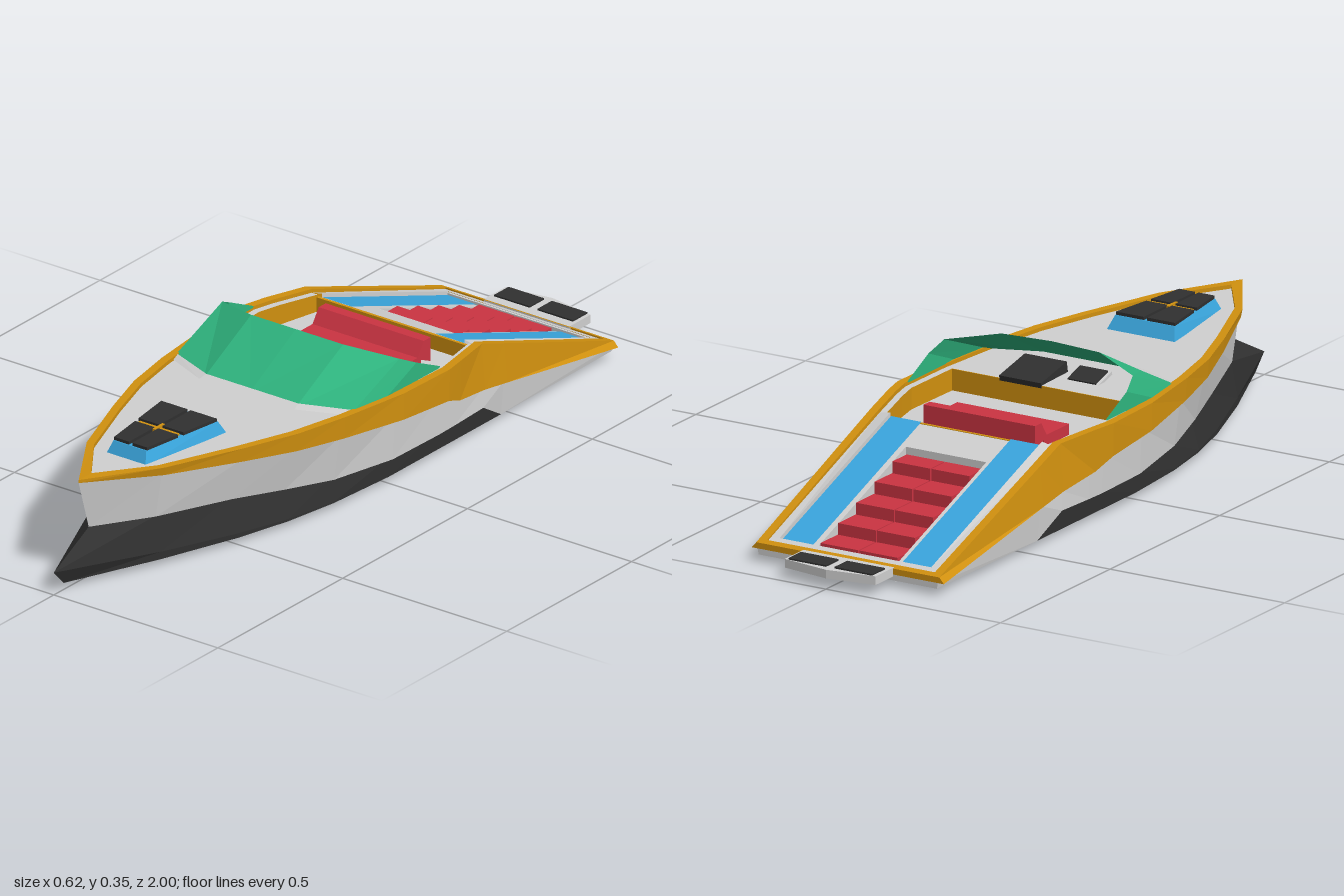
import * as THREE from 'three';

const mat = (name, color) =>
  new THREE.MeshStandardMaterial({ name, color, flatShading: true, side: THREE.DoubleSide });

export function createModel() {
  const boat = new THREE.Group();
  boat.name = 'speedboat';
  const grey = mat('light grey', 0xd0d0d0), orange = mat('orange', 0xd0900f), black = mat('black', 0x303030);
  const blue = mat('blue', 0x3aa6de), red = mat('red', 0xcb3442), green = mat('green', 0x2fb57f);

  const add = (name, geo, material, parent = boat) => {
    const m = new THREE.Mesh(geo, material);
    m.name = name;
    parent.add(m);
    return m;
  };
  // Skin between successive rows of points, mirrored across x = 0
  const strip = (name, rows, material, mirror = true) => {
    const p = [];
    const tri = (a, b, c) => {
      p.push(...a, ...b, ...c);
      if (mirror) for (const [x, y, z] of [a, c, b]) p.push(-x, y, z);
    };
    for (let i = 0; i + 1 < rows.length; i++)
      for (let j = 0; j + 1 < rows[i].length; j++) {
        const a = rows[i][j], b = rows[i][j + 1], c = rows[i + 1][j], d = rows[i + 1][j + 1];
        tri(a, b, d);
        tri(a, d, c);
      }
    const g = new THREE.BufferGeometry();
    g.setAttribute('position', new THREE.Float32BufferAttribute(p, 3));
    g.computeVertexNormals();
    return add(name, g, material);
  };
  // Box from minimum and maximum corners
  const box = (name, x0, x1, y0, y1, z0, z1, material) => {
    const m = add(name, new THREE.BoxGeometry(x1 - x0, y1 - y0, z1 - z0), material);
    m.position.set((x0 + x1) / 2, (y0 + y1) / 2, (z0 + z1) / 2);
    return m;
  };
  const row = (xs, ys, zs) => xs.map((x, i) => [x, ys[i], zs[i]]);
  const shift = (r, dx, dy) => r.map(([x, y, z]) => [Math.max(0, x + dx), y + dy, z]);
  const toCentre = r => r.map(([, y, z]) => [0, y, z]);
  const slopeY = z => 0.225 + (z + 0.36) * 0.361;

  // Long lines of the hull, bow to stern
  const zs = [0.9, 0.71, 0.5, 0.35, 0.2, 0, -0.18, -0.24, -0.36, -0.45, -0.9];
  const from = z => [z, ...zs.slice(1)];
  const sheer = row([0, 0.12, 0.2, 0.25, 0.28, 0.306, 0.31, 0.298, 0.27, 0.269, 0.262],
    [0.253, 0.25, 0.246, 0.243, 0.24, 0.236, 0.235, 0.233, 0.225, 0.1925, 0.03], zs);
  const bandY = [0.245, 0.228, 0.209, 0.195, 0.182, 0.166, 0.15, 0.125, 0.105, 0.09, 0.015];
  const bandLow = row([0, 0.115, 0.196, 0.246, 0.277, 0.306, 0.308, 0.295, 0.28, 0.279, 0.275], bandY, zs);
  const hullTop = row([0, 0.108, 0.188, 0.236, 0.262, 0.277, 0.278, 0.278, 0.272, 0.268, 0.258], bandY, zs);
  const lowY = [0.113, 0.11, 0.1, 0.082, 0.062, 0.05, 0.05, 0.052, 0.055, 0, 0];
  const hullLow = row([0, 0.09, 0.165, 0.21, 0.245, 0.272, 0.276, 0.277, 0.275, 0.26, 0.255], lowY, from(0.86));
  const keelTop = row([0, 0.087, 0.155, 0.198, 0.232, 0.258, 0.26, 0.26, 0.26, 0.26, 0.255], lowY, from(0.86));
  const keelX = [0, 0.105, 0.18, 0.22, 0.245, 0.26, 0.26, 0.26, 0.26, 0.26, 0.255];
  const chine = row(keelX, [0.042, 0.02, 0.012, 0.006, 0.003, 0, 0, 0, 0, 0, 0], from(1));
  const keel = row(keelX, keelX.map(() => 0), from(0.96));
  const rimTop = shift(sheer, -0.022, 0);
  rimTop[0][2] = 0.85;
  rimTop[10] = [0.24, slopeY(-0.885), -0.885];
  const rimLow = shift(rimTop, 0, -0.01);

  strip('keel', [toCentre(keel), keel, chine, keelTop], black);
  strip('hullSides', [keelTop, hullLow, hullTop], grey);
  strip('upperBand', [hullTop, bandLow, sheer, rimTop, rimLow], orange);
  strip('transomBand', [[[0.275, 0.015, -0.9], [0, 0.015, -0.9]], [[0.262, 0.03, -0.9], [0, 0.03, -0.9]],
    [[0.24, slopeY(-0.885), -0.885], [0, slopeY(-0.885), -0.885]]], orange);
  strip('transom', [[[0.255, 0, -0.9], [0, 0, -0.9]], [[0.258, 0.015, -0.9], [0, 0.015, -0.9]]], grey);

  // Foredeck and sunken cockpit
  const foreEdge = rimLow.slice(0, 6);
  strip('foredeck', [foreEdge, toCentre(foreEdge)], grey);
  const pitEdge = rimLow.slice(5, 9);
  const ledge = shift(pitEdge, -0.018, 0);
  const wallLow = ledge.map(([x, , z]) => [x, 0.17, z]);
  strip('cockpitLedge', [pitEdge, ledge], grey);
  strip('cockpitWalls', [ledge, wallLow], orange);
  strip('cockpitFloor', [wallLow, toCentre(wallLow)], grey);
  box('dashPanel', -0.266, 0.266, 0.17, 0.225, 0, 0.006, orange);
  box('cockpitRearWall', -0.23, 0.23, 0.17, 0.209, -0.364, -0.356, orange);

  // Bench seat
  box('seatCushion', -0.16, 0.16, 0.17, 0.198, -0.26, -0.145, red);
  strip('seatBack', [
    [[0.16, 0.195, -0.245], [0.16, 0.17, -0.3]], [[0.16, 0.234, -0.272], [0.16, 0.234, -0.3]],
    [[0, 0.234, -0.272], [0, 0.234, -0.3]]], red);
  strip('seatBackFaces', [[[0, 0.195, -0.245], [0.16, 0.195, -0.245]], [[0, 0.234, -0.272], [0.16, 0.234, -0.272]]], red);
  strip('seatBackRear', [[[0.16, 0.17, -0.3], [0, 0.17, -0.3]], [[0.16, 0.234, -0.3], [0, 0.234, -0.3]]], red);

  // Helm console and gauge
  const console = box('helmConsole', 0.01, 0.13, 0.205, 0.245, 0.0, 0.12, black);
  console.rotation.x = -0.2;
  const gauge = box('gaugePanel', -0.1, -0.02, 0.232, 0.24, 0.07, 0.13, black);
  gauge.rotation.x = -0.3;
  const gaugeFrame = box('gaugeFrame', -0.108, -0.012, 0.228, 0.236, 0.065, 0.135, grey);
  gaugeFrame.rotation.x = -0.3;

  // Wraparound windscreen
  strip('windscreen', [
    [[0, 0.232, 0.215], [0.14, 0.232, 0.215], [0.27, 0.232, 0.165], [0.284, 0.235, 0.04], [0.284, 0.234, -0.17]],
    [[0, 0.333, 0.03], [0.14, 0.33, 0.025], [0.27, 0.308, -0.03], [0.284, 0.283, -0.08], [0.284, 0.238, -0.175]]], green);
  strip('windscreenSill', [
    [[0, 0.232, 0.226], [0.145, 0.232, 0.226], [0.274, 0.232, 0.172]],
    [[0, 0.239, 0.205], [0.14, 0.239, 0.205], [0.268, 0.239, 0.155]]], grey);

  // Sloping aft deck: side ledges, floor and end panels
  const line = (x, dy, z0, z1) => [z0, z1].map(z => [x, slopeY(z) + dy, z]);
  const F = -0.36, A = -0.865;
  strip('aftLedge', [[[0.248, 0.215, F], [0.24, slopeY(-0.885) - 0.004, -0.885]], line(0.217, -0.004, F, A),
    line(0.217, -0.016, F, A)], grey);
  strip('aftSideDeck', [line(0.217, -0.016, F, A), line(0.115, -0.016, F, A), line(0.115, -0.06, F, A)], grey);
  strip('aftFrontDeck', [line(0.115, -0.016, F, -0.45), line(0, -0.016, F, -0.45)], grey);
  strip('aftEndDeck', [line(0.24, -0.004, A, -0.885), line(0, -0.004, A, -0.885)], grey);
  strip('aftStripes', [line(0.215, -0.013, F, A + 0.004), line(0.128, -0.013, F, A + 0.004)], blue);
  box('stairFrontWall', -0.115, 0.115, 0.12, 0.176, -0.452, -0.448, grey);
  box('stairEndWall', -0.217, 0.217, 0.005, 0.036, -0.868, -0.862, grey);

  // Two columns of cushioned steps
  const stepZ = [-0.455, -0.522, -0.604, -0.688, -0.77, -0.85];
  for (let i = 0; i < 5; i++)
    for (const s of [-1, 1]) {
      const top = slopeY(stepZ[i + 1]) - 0.008;
      box('step', s * 0.056 - 0.054, s * 0.056 + 0.054, Math.max(0.004, top - 0.05), top,
        stepZ[i + 1] + 0.001, stepZ[i] - 0.001, red);
    }

  // Bow hatch with four dark panes
  const quadRing = (y, z0, w0, z1, w1) => [[w0, y, z0], [w1, y, z1]];
  const base = quadRing(0.236, 0.712, 0.06, 0.437, 0.097), lid = quadRing(0.269, 0.695, 0.05, 0.455, 0.085);
  strip('hatchSides', [base, lid, toCentre(lid)], blue);
  strip('hatchFront', [[toCentre(base)[0], base[0]], [toCentre(lid)[0], lid[0]]], blue);
  strip('hatchRear', [[base[1], toCentre(base)[1]], [lid[1], toCentre(lid)[1]]], blue);
  for (const [z0, z1] of [[0.692, 0.588], [0.57, 0.458]]) {
    const w = z => 0.05 + (0.695 - z) * 0.146;
    const pane = quadRing(0.277, z0, w(z0), z1, w(z1));
    const foot = shift(pane, 0, -0.008);
    const inner = r => r.map(([, y, z]) => [0.005, y, z]);
    strip('hatchPane', [foot, pane, inner(pane), inner(foot)], black);
    strip('hatchPaneFront', [[inner(foot)[0], foot[0]], [inner(pane)[0], pane[0]]], black);
    strip('hatchPaneRear', [[foot[1], inner(foot)[1]], [pane[1], inner(pane)[1]]], black);
  }
  box('hatchCrossBar', -0.06, 0.06, 0.269, 0.274, 0.575, 0.583, orange);
  box('hatchLatch', -0.004, 0.004, 0.27, 0.278, 0.56, 0.6, orange);

  // Swim platform with two dark pads
  const plan = new THREE.Shape([[-0.13, 0.895], [0.13, 0.895], [0.13, 0.98], [0, 1], [-0.13, 0.98]]
    .map(([x, y]) => new THREE.Vector2(x, y)));
  const platform = add('swimPlatform', new THREE.ExtrudeGeometry(plan, { depth: 0.022, bevelEnabled: false }), grey);
  platform.rotation.x = -Math.PI / 2;
  platform.position.y = 0.01;
  for (const s of [-1, 1])
    box('platformPad', s * 0.066 - 0.054, s * 0.066 + 0.054, 0.03, 0.036, -0.98, -0.922, black);

  return boat;
}
